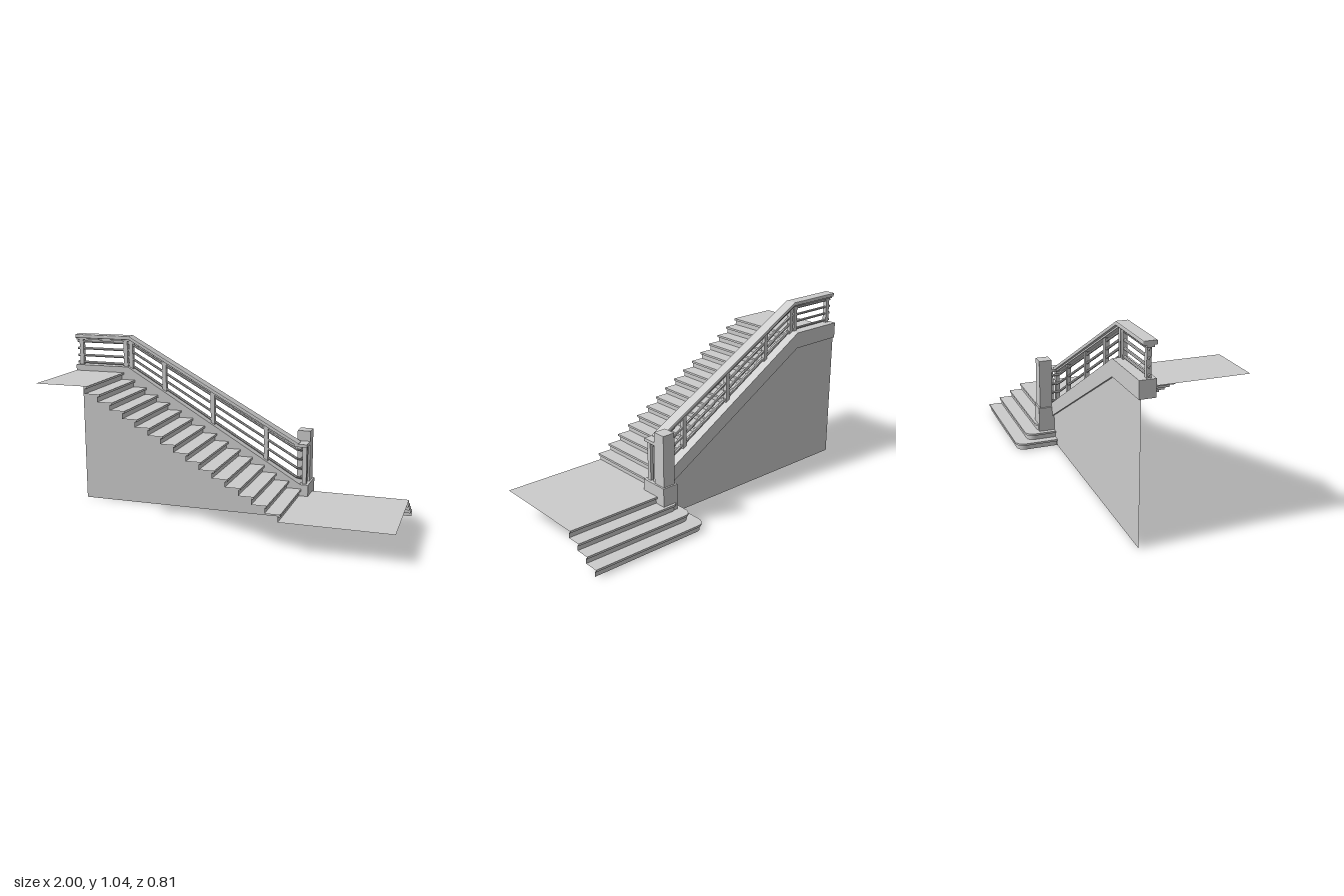
import * as THREE from 'three';

const solid = new THREE.MeshStandardMaterial({ color: 0xcccccc, flatShading: true });
const thin = new THREE.MeshStandardMaterial({ color: 0xcccccc, flatShading: true, side: THREE.DoubleSide });

const WALL_Z = -0.15, CURB_FRONT = -0.075, RAIL_Z = -0.108;
const RISE = 0.04125, RUN = 0.0727, STEPS = 16, LIP = 0.012;

// Height along a line that is level to x = bend, then slopes down to x = 0.39
const slope = (bend, high, low) => x => high + Math.max(0, (x - bend) / (0.39 - bend)) * (low - high);
const curbTop = slope(-0.66, 0.86, 0.235);
const curbBottom = slope(-0.665, 0.767, 0.15);
const railTop = slope(-0.652, 1.042, 0.468);
const railBottom = x => railTop(x) - 0.022;
const between = f => x => curbTop(x) + f * (railBottom(x) - curbTop(x));

// Open surface joining rows of equal point count
function sheet(rows) {
  const n = rows[0].length, index = [];
  for (let i = 0; i < rows.length - 1; i++) {
    for (let j = 0; j < n - 1; j++) {
      const a = i * n + j, b = a + n;
      index.push(a, b, a + 1, a + 1, b, b + 1);
    }
  }
  const geo = new THREE.BufferGeometry();
  geo.setAttribute('position', new THREE.Float32BufferAttribute(rows.flat(2), 3));
  geo.setIndex(index);
  const flat = geo.toNonIndexed();
  flat.computeVertexNormals();
  return flat;
}

// Front-facing outline extruded between two z values
function slab(points, z0, z1, bevel = 0) {
  const shape = new THREE.Shape(points.map(p => new THREE.Vector2(...p)));
  const geo = new THREE.ExtrudeGeometry(shape, {
    depth: z1 - z0 - 2 * bevel, bevelEnabled: bevel > 0, bevelSize: bevel,
    bevelThickness: bevel, bevelOffset: -bevel, bevelSegments: 2,
  });
  return geo.translate(0, 0, z0 + bevel);
}

// Band between two height functions, sampled at the given x stations
function band(xs, low, high, z0, z1, bevel) {
  const under = xs.map(x => [x, low(x)]);
  const over = xs.map(x => [x, high(x)]).reverse();
  return slab([...under, ...over], z0, z1, bevel);
}

function box(x0, x1, y0, y1, z0, z1) {
  return new THREE.BoxGeometry(x1 - x0, y1 - y0, z1 - z0)
    .translate((x0 + x1) / 2, (y0 + y1) / 2, (z0 + z1) / 2);
}

// Plan path of a return step: side edge, rounded corner, back edge
function stepPath(x0, z0, r, y) {
  const pts = [[x0, y, Math.max(WALL_Z, z0 + r)]];
  for (let k = 0; k <= 8; k++) {
    const a = (k / 8) * Math.PI / 2;
    pts.push([x0 + r - r * Math.cos(a), y, z0 + r - r * Math.sin(a)]);
  }
  pts.push([1, y, z0]);
  return pts;
}

export function createModel() {
  const model = new THREE.Group();
  const add = (name, geo, mat = solid, parent = model) => {
    const mesh = new THREE.Mesh(geo, mat);
    mesh.name = name;
    parent.add(mesh);
    return mesh;
  };

  // Main flight with both landings, one folded sheet
  const profile = [[-1, 0.825]];
  for (let i = 0; i < STEPS; i++) {
    const x = -0.69 + RUN * i, y = 0.825 - RISE * i;
    profile.push([x, y], [x, y - LIP], [x - LIP, y - LIP], [x - LIP, y - RISE]);
  }
  profile.push([1, 0.165]);
  add('stairFlight', sheet([0.405, CURB_FRONT].map(z => profile.map(([x, y]) => [x, y, z]))), thin);

  // Return steps wrapping round the foot of the wall
  const rows = [];
  for (let i = 0; i < 4; i++) {
    const x = 0.282 + 0.035 * i, z = -0.405 + 0.0717 * i;
    const r = [0.055, 0.05, 0.035, 0.02][i], y = RISE * i, top = y + RISE;
    rows.push(
      stepPath(x + 0.01, z + 0.01, r - 0.008, y), stepPath(x + 0.01, z + 0.01, r - 0.008, top - LIP),
      stepPath(x, z, r, top - LIP), stepPath(x, z, r, top));
  }
  rows.push(stepPath(0.39, CURB_FRONT, 0.002, 4 * RISE));
  add('returnSteps', sheet(rows), thin);

  // Side wall, cut to the return steps at its foot
  const wall = new THREE.Shape([
    [-1, 0], [0.29, 0], [0.29, 0.04], [0.325, 0.04], [0.325, 0.082], [0.36, 0.082],
    [0.36, 0.123], [0.395, 0.123], [0.395, 0.16], [-0.665, 0.78], [-1, 0.78],
  ].map(p => new THREE.Vector2(...p)));
  add('sideWall', new THREE.ShapeGeometry(wall).translate(0, 0, WALL_Z), thin);

  // Curb carrying the balustrade
  add('curb', band([-1, -0.663, 0.39], curbBottom, curbTop, -0.162, CURB_FRONT));

  // Newel post on its base
  add('newelBase', box(0.345, 0.44, 0.08, 0.232, -0.245, WALL_Z));
  add('newelBaseFront', box(0.39, 0.44, 0.08, 0.232, WALL_Z, CURB_FRONT));
  add('newelPost', box(0.355, 0.43, 0.232, 0.53, -0.235, -0.158));

  // Handrail with a narrow rail beneath and a level end piece
  const railing = new THREE.Group();
  railing.name = 'railing';
  model.add(railing);
  add('handrail', band([-1, -0.652, 0.38], railBottom, railTop, -0.142, -0.073, 0.005), solid, railing);
  add('underRail', band([-1, -0.655, 0.37], x => railBottom(x) - 0.01, railBottom, -0.128, -0.088), solid, railing);
  add('handrailEnd', box(0.355, 0.43, 0.453, 0.47, -0.158, -0.073), solid, railing);

  // Balusters trimmed to the curb and the rail
  for (const x of [-0.972, -0.684, -0.65, -0.44, -0.14, 0.183]) {
    const xs = [x - 0.012, x + 0.012];
    add('baluster', band(xs, curbTop, railBottom, RAIL_Z - 0.012, RAIL_Z + 0.012), solid, railing);
  }
  add('endBaluster', box(0.4, 0.425, 0.232, 0.455, -0.118, -0.094), solid, railing);
  add('endBaluster', box(0.4, 0.42, 0.232, 0.44, -0.156, -0.135), solid, railing);

  // Horizontal bars following the curb, turning level at the foot
  for (const f of [0.08, 0.34, 0.6, 0.86]) {
    const y = between(f);
    const path = new THREE.CurvePath();
    const pts = [-1, -0.656, 0.365].map(x => new THREE.Vector3(x, y(x), RAIL_Z));
    pts.push(new THREE.Vector3(0.385, y(0.38), RAIL_Z - 0.015), new THREE.Vector3(0.385, y(0.38), -0.16));
    for (let i = 0; i < pts.length - 1; i++) {
      path.add(new THREE.LineCurve3(pts[i], pts[i + 1]));
    }
    add('railBar', new THREE.TubeGeometry(path, 100, 0.0075, 8), solid, railing);
  }
  return model;
}
